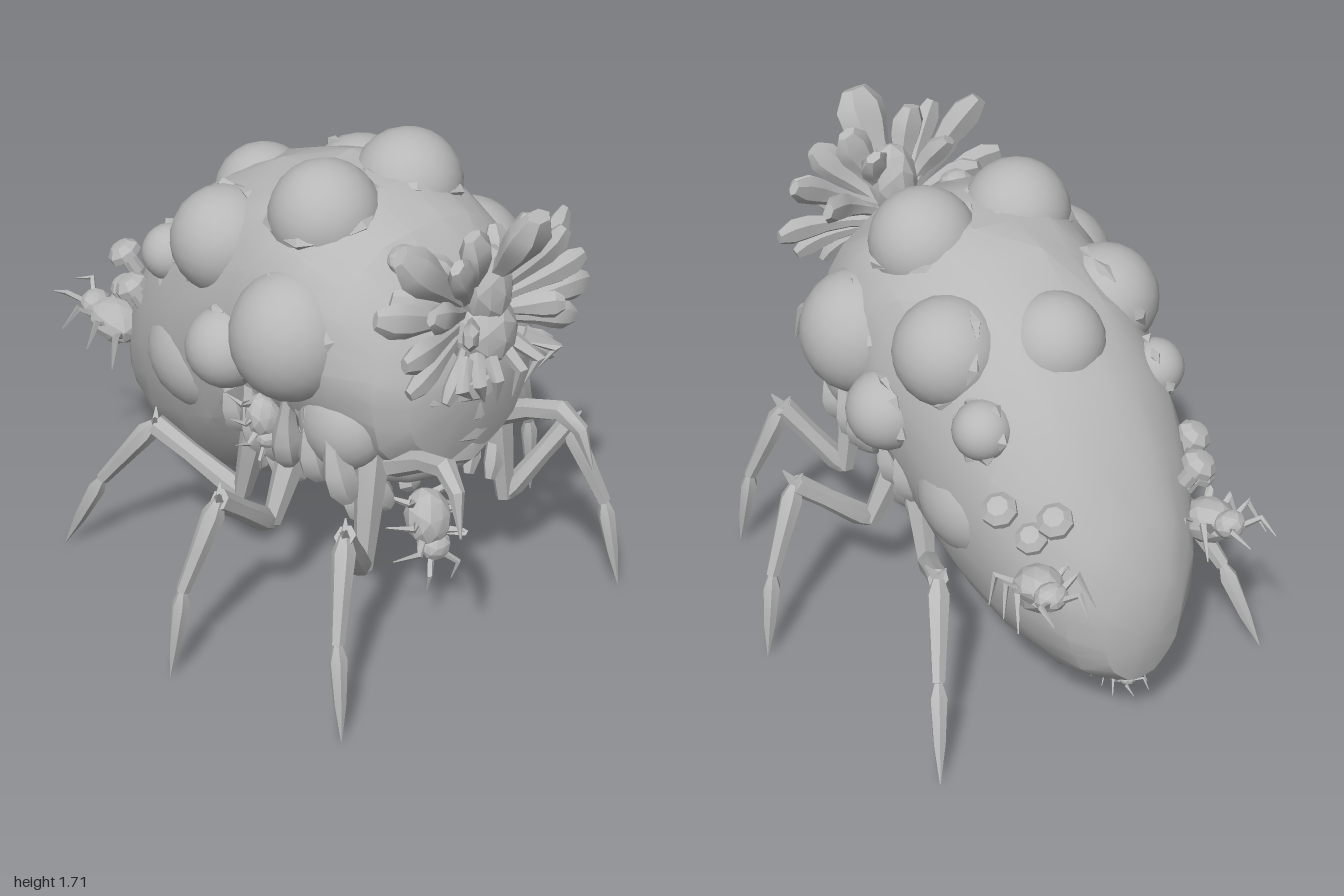
import * as THREE from 'three';
import { toCreasedNormals } from 'three/addons/utils/BufferGeometryUtils.js';

const hide = new THREE.MeshStandardMaterial({ color: 0xb8b8b8 });
hide.name = 'grey hide';

const V = (x, y, z) => new THREE.Vector3(x, y, z);
let seed = 7;
const rnd = () => (seed = (seed * 16807) % 2147483647) / 2147483647;

function add(parent, name, geo, crease = 0.6) {
  const mesh = new THREE.Mesh(toCreasedNormals(geo, crease), hide);
  mesh.name = name;
  parent.add(mesh);
  return mesh;
}

// Skin a list of equal-sized rings and close both ends
function loft(rings) {
  const n = rings[0].length, pos = [], idx = [];
  rings.forEach(r => r.forEach(p => pos.push(p.x, p.y, p.z)));
  for (let i = 0; i < rings.length - 1; i++)
    for (let j = 0; j < n; j++) {
      const a = i * n + j, b = i * n + (j + 1) % n;
      idx.push(a, b, a + n, b, b + n, a + n);
    }
  [0, rings.length - 1].forEach(k => {
    const c = rings[k].reduce((s, p) => s.add(p), V(0, 0, 0)).divideScalar(n);
    const ci = pos.length / 3;
    pos.push(c.x, c.y, c.z);
    for (let j = 0; j < n; j++) {
      const a = k * n + j, b = k * n + (j + 1) % n;
      if (k) idx.push(a, b, ci); else idx.push(b, a, ci);
    }
  });
  const g = new THREE.BufferGeometry();
  g.setAttribute('position', new THREE.Float32BufferAttribute(pos, 3));
  g.setIndex(idx);
  g.computeVertexNormals();
  return g;
}

// Tapered limb through points; radii across, flat = thickness ratio
function limb(pts, radii, flat = 1, n = 6, ref = V(0.1, 0.07, 1)) {
  return loft(pts.map((p, i) => {
    const t = pts[Math.min(i + 1, pts.length - 1)].clone().sub(pts[Math.max(i - 1, 0)]).normalize();
    const u = ref.clone().cross(t).normalize(), v = t.clone().cross(u);
    return Array.from({ length: n }, (_, j) => {
      const a = j / n * Math.PI * 2;
      return p.clone().addScaledVector(u, Math.cos(a) * radii[i]).addScaledVector(v, Math.sin(a) * radii[i] * flat);
    });
  }));
}

function blob(parent, name, p, r, s = [1, 1, 1], detail = 3) {
  const g = new THREE.IcosahedronGeometry(r, detail);
  g.scale(...s);
  g.translate(...p);
  return add(parent, name, g, detail > 1 ? 1.2 : 0.3);
}

// Spoon-shaped petal from a to b, bowed by vector bow
function petal(parent, name, a, b, bow, w, flat = 0.4) {
  const mid = a.clone().lerp(b, 0.5).add(bow);
  const c = new THREE.QuadraticBezierCurve3(a, mid, b);
  add(parent, name, limb(c.getPoints(5), [0.5, 0.5, 0.7, 1, 1.05, 0.55].map(k => k * w), flat));
}

// Small parasite bug; local forward is +z
function bug(parent, p, rot, s) {
  const g = new THREE.Group();
  g.name = 'parasite';
  blob(g, 'parasiteBody', [0, 0, 0], 0.1, [0.9, 0.8, 1.1], 1);
  blob(g, 'parasiteHead', [0, 0.01, 0.11], 0.055, [1.1, 0.9, 1], 1);
  for (const k of [-1, 1]) {
    for (let i = 0; i < 3; i++) {
      const z = (i - 1) * 0.07;
      add(g, 'parasiteLeg', limb([V(0.05 * k, 0, z), V(0.11 * k, 0.05, z * 1.4), V(0.14 * k, -0.07, z * 1.9)], [0.018, 0.014, 0.003], 1, 4));
    }
    add(g, 'parasiteFeeler', limb([V(0.02 * k, 0, 0.14), V(0.07 * k, 0.03, 0.2), V(0.06 * k, -0.02, 0.27)], [0.013, 0.011, 0.002], 1, 4, V(1, 0.2, 0)));
  }
  g.position.set(...p);
  g.rotation.set(...rot);
  g.scale.setScalar(s);
  parent.add(g);
}

export function createModel() {
  const root = new THREE.Group();
  root.name = 'bloatedCrawler';

  // Swollen body: z, bottom, top, half width
  const stations = [
    [-0.885, 0.45, 0.6, 0.05], [-0.86, 0.34, 0.76, 0.15], [-0.78, 0.29, 0.93, 0.25], [-0.65, 0.25, 1.14, 0.335],
    [-0.5, 0.24, 1.33, 0.4], [-0.3, 0.25, 1.49, 0.44], [-0.1, 0.35, 1.58, 0.46], [0.06, 0.47, 1.62, 0.47],
    [0.14, 0.63, 1.62, 0.47], [0.32, 0.68, 1.61, 0.47], [0.5, 0.68, 1.54, 0.43], [0.64, 0.7, 1.39, 0.36], [0.72, 0.78, 1.27, 0.27], [0.765, 0.95, 1.17, 0.13]];
  const N = 26;
  add(root, 'body', loft(stations.map(([z, lo, hi, w]) => {
    const my = lo + (hi - lo) * 0.55;
    return Array.from({ length: N }, (_, j) => {
      const a = j / N * Math.PI * 2, c = Math.cos(a), s = Math.sin(a);
      const k = 1 + 0.016 * Math.sin(j * 2.3 + z * 17);
      const x = Math.sign(c) * Math.pow(Math.abs(c), s > 0 ? 0.85 : 1.03) * w * k;
      return V(x, my + s * (s > 0 ? hi - my : my - lo) * k, z);
    });
  })), 0.45);

  // Swellings on back and flanks, each with a torn skin rim
  function boil(x, y, z, r, out, s) {
    blob(root, 'boil', [x, y, z], r, s);
    const n = V(...out).normalize(), q = new THREE.Quaternion().setFromUnitVectors(V(0, 0, 1), n);
    for (let i = 0; i < 6; i++) {
      const a = i * 1.05 + rnd() * 0.6, d = r * 0.98;
      const at = t => V(Math.cos(t) * d, Math.sin(t) * d, r * 0.15).applyQuaternion(q).add(V(x, y, z));
      add(root, 'tornRim', limb([at(a), at(a + 0.3), at(a + 0.6)], [0.004, 0.024, 0.003], 0.8, 4));
    }
  }
  for (const k of [-1, 1]) {
    boil(0.39 * k, 1.2, 0.3, 0.205, [k, 0, 0.1], [1, 1.08, 1]);
    boil(0.44 * k, 1.06, 0.03, 0.14, [k, 0, 0]);
    boil(0.3 * k, 1.34, -0.14, 0.185, [k, 0.5, 0]);
    boil(0.33 * k, 1.2, -0.4, 0.1, [k, 0.4, -0.3]);
    boil(0.18 * k, 1.525, 0.22, 0.185, [0.3 * k, 1, 0]);
    boil(0.28 * k, 0.85, -0.28, 0.19, [k, 0, 0], [1, 1.1, 1.2]);
    boil(0.31 * k, 0.92, 0.46, 0.15, [k, 0, 0.5], [0.9, 1.1, 1.1]);
  }
  boil(0, 1.36, -0.3, 0.17, [0, 1, -0.6]);

  // Folded throat and jaw plates
  blob(root, 'throat', [0, 0.77, 0.5], 0.2, [1.45, 0.65, 1], 2);
  for (let i = 0; i < 4; i++) {
    const y = 0.8 + i * 0.085, w = 0.28 + i * 0.025;
    add(root, 'throatFold', limb([-1, -0.5, 0, 0.5, 1].map(t => V(t * w, y + 0.08 * t * t, 0.7 + i * 0.015 - 0.13 * t * t)),
      [0.015, 0.05, 0.055, 0.05, 0.015], 0.8));
  }

  // Face with ring of mouth fangs
  blob(root, 'head', [0, 1.27, 0.76], 0.12, [1, 1.05, 0.9], 1);
  blob(root, 'brow', [0, 1.43, 0.76], 0.12, [0.75, 1.2, 0.8], 1);
  for (const k of [-1, 1]) {
    for (let i = 0; i < 3; i++) {
      const x = (0.04 + i * 0.06) * k;
      add(root, 'fang', limb([V(x * 0.8, 1.23, 0.82), V(x * 1.3, 1.16 + i * 0.01, 0.89), V(x * 0.9, 1.06 + i * 0.03, 0.87)], [0.03, 0.025, 0.003], 0.8, 5));
    }
  }

  // Flower-like crest: tip x, y, z and width
  const crest = [
    [0.04, 1.72, 0.94, 0.09], [-0.12, 1.66, 0.82, 0.065], [0.15, 1.64, 0.8, 0.065], [-0.36, 1.65, 0.76, 0.07],
    [-0.24, 1.62, 0.88, 0.055], [0.25, 1.58, 0.86, 0.055], [0.4, 1.54, 0.72, 0.05], [-0.42, 1.44, 0.72, 0.055], [0.34, 1.46, 0.86, 0.05],
    [-0.32, 1.47, 0.86, 0.05], [0.43, 1.31, 0.8, 0.05], [-0.4, 1.32, 0.83, 0.05], [0.36, 1.21, 0.82, 0.045],
    [-0.37, 1.2, 0.82, 0.045], [0.24, 1.13, 0.85, 0.04], [-0.24, 1.13, 0.85, 0.04], [0.22, 1.34, 0.9, 0.045], [-0.2, 1.36, 0.9, 0.045],
    [0.3, 1.44, 0.67, 0.055], [-0.3, 1.44, 0.66, 0.055], [0.1, 1.58, 0.7, 0.055], [-0.2, 1.56, 0.7, 0.055]];
  crest.forEach(([x, y, z, w]) => petal(root, 'crestPetal', V(x * 0.2, 1.3 + (y - 1.3) * 0.25, 0.74), V(x, y, z),
    V(x * 0.12, 0.02, 0.05), w, 0.6));

  // Three pairs of long jointed legs: hip, elbow, knee, shin, foot
  const legs = {
    frontLeg: [[0.27, 0.9, 0.56], [0.33, 0.41, 0.58], [0.51, 0.68, 0.69], [0.62, 0.36, 0.78], [0.655, 0.02, 0.84]],
    middleLeg: [[0.27, 0.76, 0.2], [0.42, 0.45, 0.22], [0.68, 0.68, 0.27], [0.81, 0.36, 0.23], [0.86, 0.02, 0.21]],
    rearLeg: [[0.32, 0.8, 0.06], [0.34, 0.41, -0.03], [0.47, 0.6, -0.34], [0.58, 0.33, -0.52], [0.66, 0.02, -0.66]]
  };
  for (const [name, path] of Object.entries(legs)) for (const k of [-1, 1]) {
    const g = new THREE.Group();
    g.name = name;
    root.add(g);
    const [hip, elbow, knee, shin, foot] = path.map(([x, y, z]) => V(x * k, y, z));
    const seg = (label, a, b, r) => add(g, label,
      limb([a, a.clone().lerp(b, 0.15), a.clone().lerp(b, 0.6), b], r, 0.85));
    seg('hip', hip, elbow, [0.05, 0.065, 0.05, 0.035]);
    seg('thigh', elbow, knee, [0.028, 0.042, 0.036, 0.04]);
    seg('shin', knee, shin, [0.022, 0.044, 0.034, 0.026]);
    seg('claw', shin, foot, [0.016, 0.034, 0.024, 0.002]);
    // Knee spurs
    [-0.02, 0.03].forEach(d => add(g, 'spur',
      limb([knee.clone(), V(knee.x + d * k, knee.y + 0.05, knee.z + d)], [0.02, 0.003], 1, 4)));
  }

  // Short front arms and tattered flaps on hips, belly and flanks
  for (const k of [-1, 1]) {
    add(root, 'frontArm', limb([V(0.24 * k, 0.8, 0.62), V(0.24 * k, 0.88, 0.76), V(0.26 * k, 0.92, 0.88), V(0.28 * k, 0.87, 0.95), V(0.3 * k, 0.73, 0.995)],
      [0.045, 0.036, 0.038, 0.027, 0.003], 1, 6, V(1, 0, 0)));
    for (let i = 0; i < 8; i++) {
      const z = -0.05 + i * 0.085, x = (0.2 + rnd() * 0.14) * k;
      petal(root, 'hipFlap', V(x, 0.78, z), V(x * 0.85, 0.48 + rnd() * 0.13, z + rnd() * 0.08), V(0.05 * k, 0, 0), 0.045, 0.6);
    }
    for (let i = 0; i < 5; i++) {
      const z = 0.1 + i * 0.1, x = (0.05 + rnd() * 0.1) * k;
      petal(root, 'bellyFlap', V(x, 0.72, z), V(x * 1.2, 0.5 + rnd() * 0.1, z + 0.03), V(0.03 * k, 0, 0), 0.05, 0.7);
    }
    for (let i = 0; i < 6; i++) {
      const z = 0.5 - i * 0.1;
      petal(root, 'flankFlap', V(0.4 * k, 0.98, z), V(0.37 * k, 0.68 + rnd() * 0.06, z + (rnd() - 0.5) * 0.12), V(0.04 * k, 0, 0), 0.06, 0.8);
    }
  }

  // Fungus caps on the rump
  const cap = [[0, -0.07], [0.03, -0.07], [0.03, 0], [0.06, 0], [0.06, 0.025], [0.035, 0.05], [0, 0.055]].map(p => new THREE.Vector2(...p));
  for (const k of [-1, 1]) for (const [x, y, z, s] of [[0.37, 1.0, -0.57, 1], [0.27, 1.03, -0.74, 1], [0.32, 0.94, -0.68, 0.9]]) {
    const m = add(root, 'fungusCap', new THREE.LatheGeometry(cap, 8), 0.5);
    m.position.set(x * k, y, z);
    m.rotation.set(-0.35, 0, -0.4 * k);
    m.scale.setScalar(s);
  }

  // Parasites on rump, belly, flank and tail
  for (const k of [-1, 1]) bug(root, [0.33 * k, 0.79, -0.74], [0.3, Math.PI - 0.15 * k, 0], 0.95);
  bug(root, [0.01, 0.44, 0.53], [1.25, 0, 0], 0.95);
  bug(root, [-0.43, 0.87, 0.2], [1.3, 0, 0.3], 0.7);
  bug(root, [0, 0.27, -0.73], [0.1, Math.PI, 0], 0.5);
  blob(root, 'backNodule', [-0.14, 1.48, 0.55], 0.06, [1, 0.8, 1], 1);
  return root;
}
